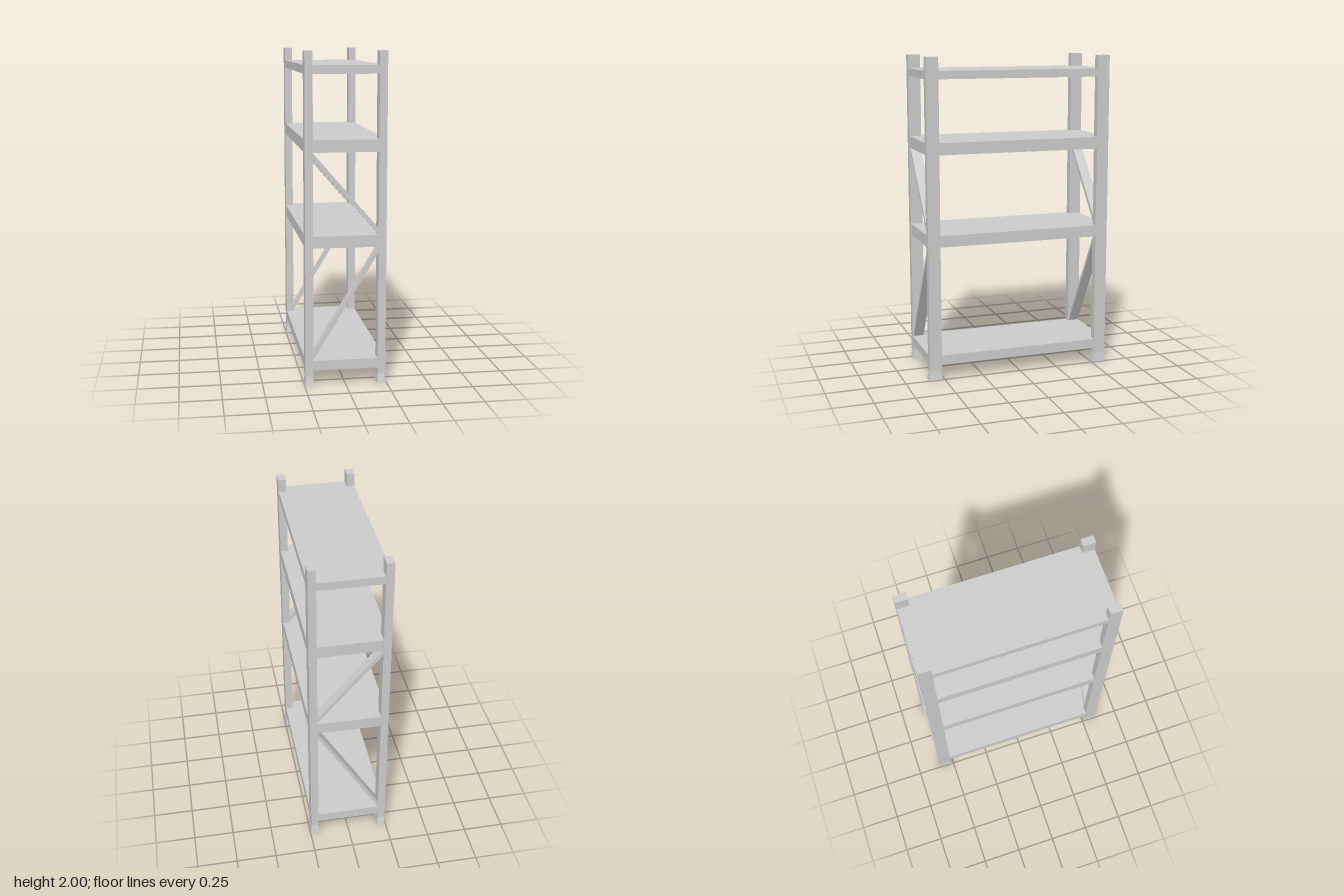
import * as THREE from 'three';

const material = new THREE.MeshStandardMaterial({ color: 0xcccccc, flatShading: true });
const POST = { x: 0.22, z: 0.555, w: 0.048, d: 0.078 };

function add(parent, name, geometry, x = 0, y = 0, z = 0) {
  const mesh = new THREE.Mesh(geometry, material);
  mesh.name = name;
  mesh.position.set(x, y, z);
  parent.add(mesh);
  return mesh;
}

// Box given by its lower and upper height
function slab(parent, name, w, y0, y1, d, x = 0, z = 0) {
  return add(parent, name, new THREE.BoxGeometry(w, y1 - y0, d), x, (y0 + y1) / 2, z);
}

// Flared foot: a box whose top corners are drawn in
function footGeometry() {
  const g = new THREE.BoxGeometry(0.056, 0.06, 0.09);
  const p = g.attributes.position;
  for (let i = 0; i < p.count; i++) {
    if (p.getY(i) > 0) {
      p.setX(i, p.getX(i) * 0.7);
      p.setZ(i, p.getZ(i) * 0.7);
    }
  }
  g.computeVertexNormals();
  return g;
}

// Diagonal strip with upright ends that meet the posts
function braceGeometry(yLeft, yRight, t, depth) {
  const x = POST.x - POST.w / 2 + 0.002;
  const shape = new THREE.Shape([
    new THREE.Vector2(-x, yLeft - t / 2),
    new THREE.Vector2(x, yRight - t / 2),
    new THREE.Vector2(x, yRight + t / 2),
    new THREE.Vector2(-x, yLeft + t / 2),
  ]);
  return new THREE.ExtrudeGeometry(shape, { depth, bevelEnabled: false }).translate(0, 0, -depth / 2);
}

export function createModel() {
  const model = new THREE.Group();
  model.name = 'storageRack';

  // Corner posts and feet
  const foot = footGeometry();
  for (const sx of [-1, 1]) {
    for (const sz of [-1, 1]) {
      slab(model, 'post', POST.w, 0.06, 2, POST.d, sx * POST.x, sz * POST.z);
      add(model, 'foot', foot, sx * POST.x, 0.03, sz * POST.z);
    }
  }

  // Solid shelves
  for (const [y0, y1] of [[0.095, 0.155], [0.845, 0.917], [1.413, 1.487]]) {
    slab(model, 'shelf', 0.484, y0, y1, 1.184);
  }

  // Top shelf: thin panel on a rim with cross bars beneath
  const top = new THREE.Group();
  top.name = 'topShelf';
  model.add(top);
  slab(top, 'topPanel', 0.484, 1.895, 1.917, 1.184);
  for (const s of [-1, 1]) {
    slab(top, 'sideRim', 0.044, 1.867, 1.895, 1.184, s * 0.22);
    slab(top, 'endRim', 0.396, 1.867, 1.895, 0.044, 0, s * 0.57);
    slab(top, 'crossBar', 0.396, 1.875, 1.895, 0.03, 0, s * 0.18);
  }

  // Diagonal braces at both ends
  const lower = braceGeometry(0.175, 0.828, 0.038, 0.066);
  const upper = braceGeometry(1.395, 0.938, 0.036, 0.066);
  for (const s of [-1, 1]) {
    add(model, 'lowerBrace', lower, 0, 0, s * POST.z);
    add(model, 'upperBrace', upper, 0, 0, s * POST.z);
  }

  return model;
}
